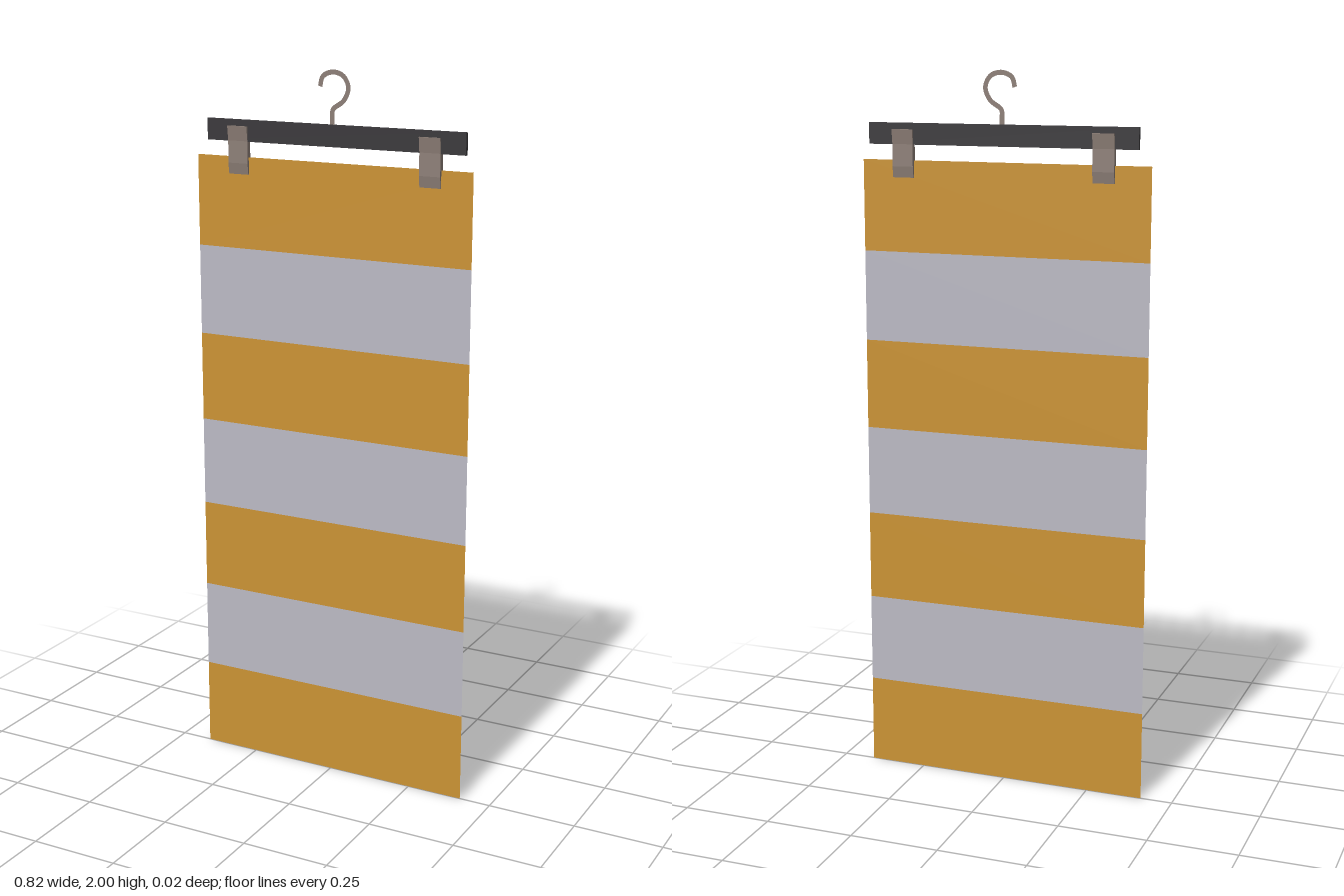
import * as THREE from 'three';

const material = (name, color, side = THREE.FrontSide) => {
  const m = new THREE.MeshStandardMaterial({ color, side });
  m.name = name;
  return m;
};

export function createModel() {
  const model = new THREE.Group();
  model.name = 'hangingStripedTowel';

  const gold = material('gold', 0xcb9334, THREE.DoubleSide);
  const silver = material('silver', 0xbbbac4, THREE.DoubleSide);
  const charcoal = material('charcoal', 0x39373a);
  const metal = material('metal', 0x8c7e76, THREE.DoubleSide);

  const add = (name, geometry, mat, x = 0, y = 0, z = 0) => {
    const mesh = new THREE.Mesh(geometry, mat);
    mesh.name = name;
    mesh.position.set(x, y, z);
    model.add(mesh);
  };

  // Flat cloth in seven equal stripes
  const stripes = 7, width = 0.82, stripeHeight = 1.757 / stripes;
  for (let i = 0; i < stripes; i++) {
    add(`clothStripe${i + 1}`, new THREE.PlaneGeometry(width, stripeHeight),
      i % 2 ? silver : gold, 0, (i + 0.5) * stripeHeight);
  }

  // Hanger bar
  add('hangerBar', new THREE.BoxGeometry(0.765, 0.058, 0.01), charcoal, 0.0075, 1.828);

  // Two clips, flared at the top and pinched at the bottom
  const half = [[0.012, 1.84], [0.007, 1.8], [0.008, 1.74], [0.004, 1.71]];
  const outline = [...half, ...half.map(([z, y]) => [-z, y]).reverse()];
  const clipShape = new THREE.Shape(outline.map(([z, y]) => new THREE.Vector2(z, y)));
  const clip = new THREE.ExtrudeGeometry(clipShape, { depth: 0.06, bevelEnabled: false });
  clip.translate(0, 0, -0.03).rotateY(-Math.PI / 2);
  add('rightClip', clip, metal, -0.28, 0, -0.001);
  add('leftClip', clip, metal, 0.29, 0, -0.001);

  // Flat hook: a ribbon offset to both sides of a curve
  const path = new THREE.SplineCurve([
    [0.005, 1.85], [0.005, 1.875], [0.008, 1.898], [0.038, 1.92], [0.052, 1.953],
    [0.038, 1.983], [0.008, 1.993], [-0.022, 1.982], [-0.031, 1.955],
  ].map(([x, y]) => new THREE.Vector2(x, y)));
  const left = [], right = [];
  for (let i = 0; i <= 40; i++) {
    const p = path.getPoint(i / 40), t = path.getTangent(i / 40);
    const n = new THREE.Vector2(-t.y, t.x).multiplyScalar(0.0065);
    left.push(p.clone().add(n));
    right.push(p.clone().sub(n));
  }
  add('hook', new THREE.ShapeGeometry(new THREE.Shape([...left, ...right.reverse()])), metal);

  return model;
}
